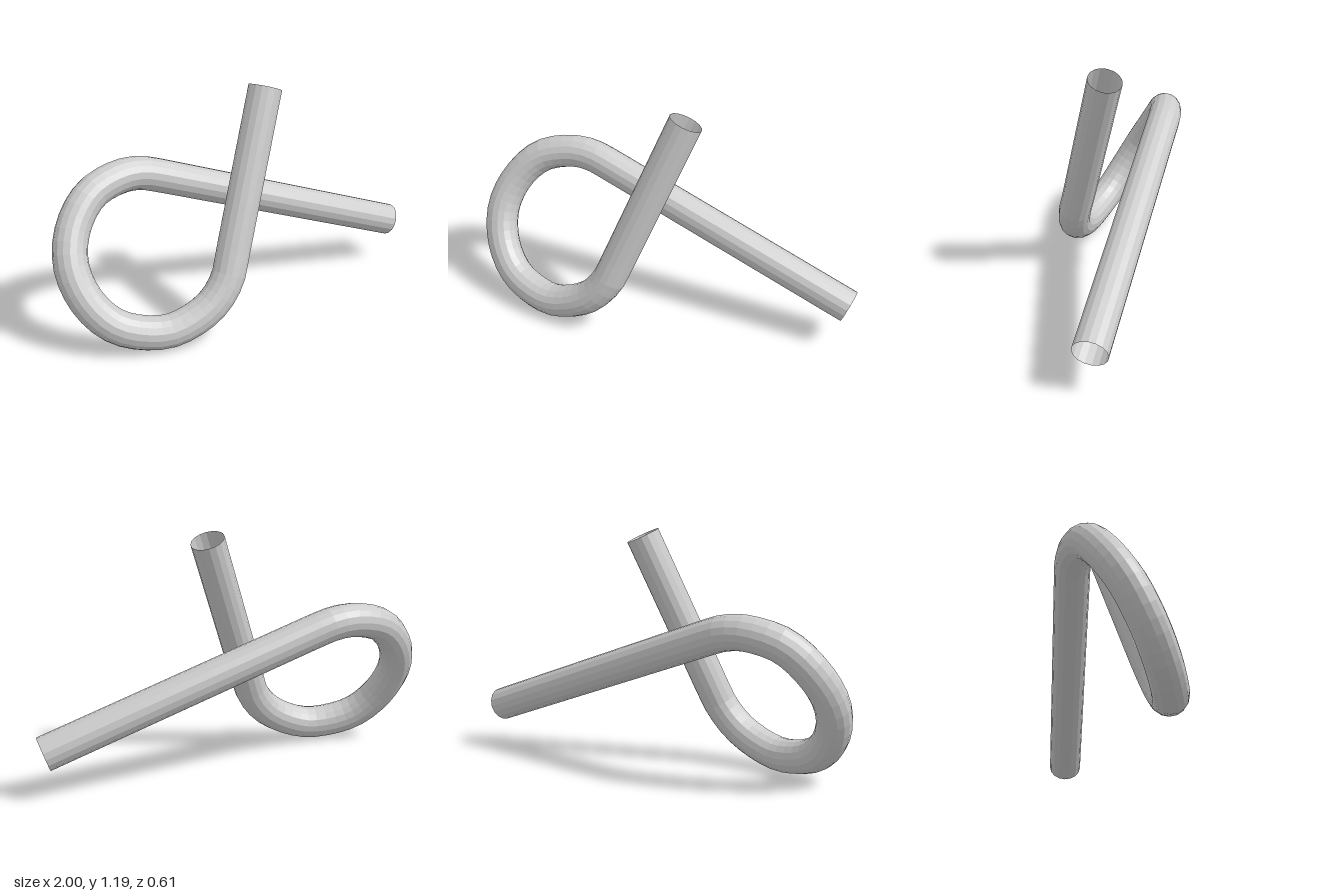
import * as THREE from 'three';

const V = (x, y, z) => new THREE.Vector3(x, y, z);

export function createModel() {
  const group = new THREE.Group();

  // Centreline: long straight leg, one rising loop, short straight leg
  const bend = [
    V(-0.38, 0.717, -0.222), V(-0.46, 0.743, -0.222), V(-0.57, 0.754, -0.211),
    V(-0.75, 0.706, -0.164), V(-0.87, 0.578, -0.09), V(-0.915, 0.425, 0),
    V(-0.87, 0.262, 0.09), V(-0.75, 0.136, 0.162), V(-0.545, 0.085, 0.213),
    V(-0.42, 0.108, 0.222), V(-0.28, 0.183, 0.215), V(-0.19, 0.29, 0.19),
    V(-0.145, 0.405, 0.155),
  ];
  const path = new THREE.CurvePath();
  path.add(new THREE.LineCurve3(V(0.97, 0.222, -0.222), bend[0]));
  path.add(new THREE.CatmullRomCurve3(bend));
  path.add(new THREE.LineCurve3(bend[bend.length - 1], V(0.125, 1.16, -0.06)));

  // Open-ended bent pipe
  const pipe = new THREE.Mesh(
    new THREE.TubeGeometry(path, 72, 0.085, 16, false),
    new THREE.MeshStandardMaterial({ color: 0xcccccc, flatShading: true, side: THREE.DoubleSide })
  );
  pipe.name = 'bentPipe';
  group.add(pipe);
  return group;
}
